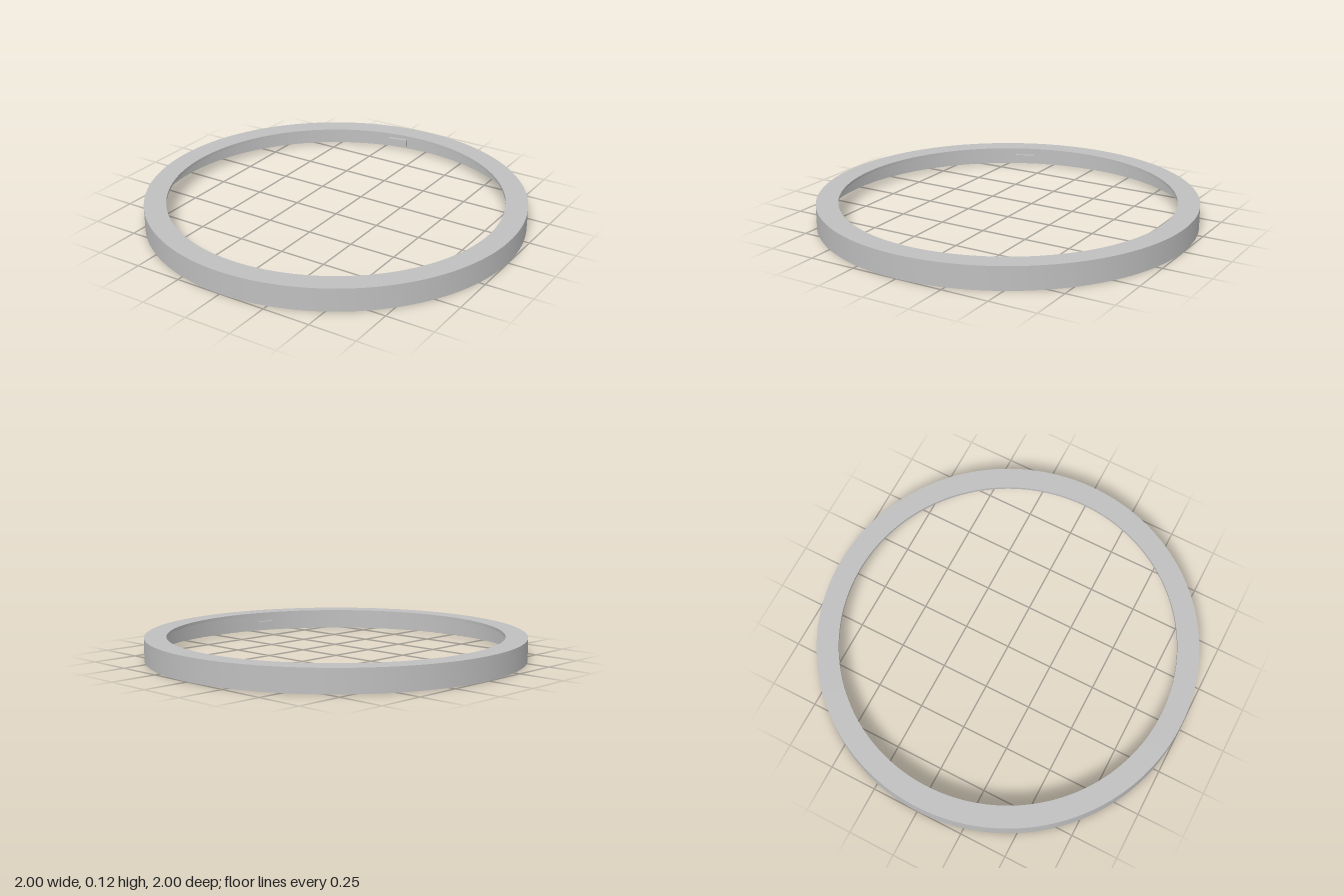
import * as THREE from 'three';
import { toCreasedNormals } from 'three/addons/utils/BufferGeometryUtils.js';

const HEIGHT = 0.12, OUTER = 1, WALL_INNER = 0.98, LIP_INNER = 0.885, LIP_BOTTOM = 0.104;

export function createModel() {
  const model = new THREE.Group();
  model.name = 'retainingRing';

  const grey = new THREE.MeshStandardMaterial({ color: 0xbfbfbf });
  grey.name = 'grey';

  // L-shaped section: thin outer wall with a flat lip turned inward at the top
  const section = [
    [WALL_INNER, 0], [OUTER, 0], [OUTER, HEIGHT], [LIP_INNER, HEIGHT],
    [LIP_INNER, LIP_BOTTOM], [WALL_INNER, LIP_BOTTOM], [WALL_INNER, 0],
  ].map(([r, y]) => new THREE.Vector2(r, y));
  const ring = new THREE.Mesh(
    toCreasedNormals(new THREE.LatheGeometry(section, 160), Math.PI / 6), grey);
  ring.name = 'ring';
  model.add(ring);

  // Small locking tabs on the inside of the wall, unevenly spaced
  const tabGeometry = new THREE.BoxGeometry(0.023, 0.043, 0.11);
  tabGeometry.translate(0.9735, 0.034, 0);
  [20, 155, 259.5].forEach((degrees, i) => {
    const tab = new THREE.Mesh(tabGeometry, grey);
    tab.name = `lockingTab${i + 1}`;
    tab.rotation.y = -THREE.MathUtils.degToRad(degrees);
    model.add(tab);
  });

  return model;
}
